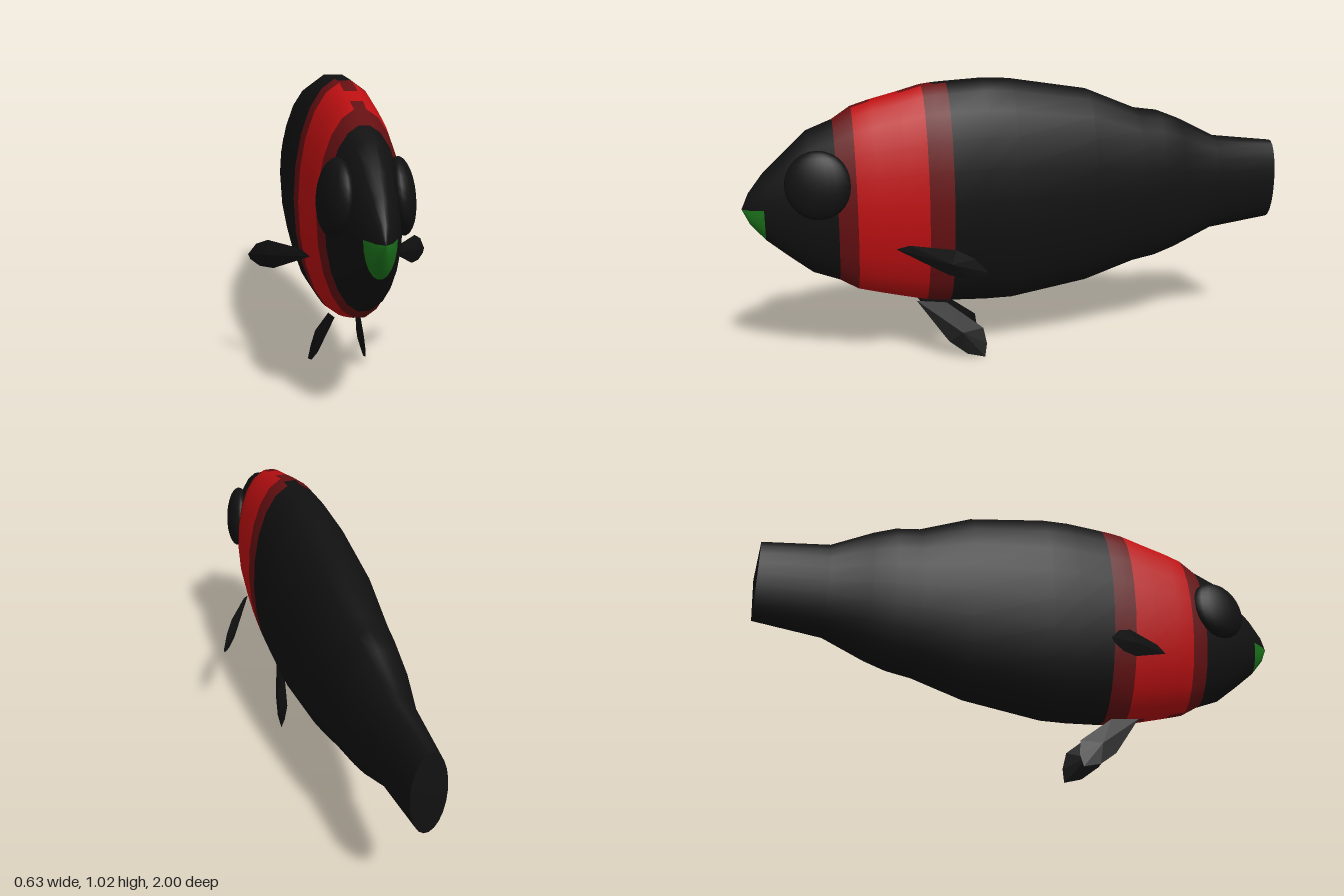
import * as THREE from 'three';

const black = new THREE.MeshStandardMaterial({ color: 0x111111 });
const brightRed = new THREE.MeshStandardMaterial({ color: 0xbe1012 });
const darkRed = new THREE.MeshStandardMaterial({ color: 0x661012 });
const green = new THREE.MeshStandardMaterial({ color: 0x1c741c });
black.name = 'black';
brightRed.name = 'brightRed';
darkRed.name = 'darkRed';
green.name = 'green';
const palette = [black, brightRed, darkRed, green];

const SIDES = 22;

// Body cross-sections from nose to tail: z, top y, bottom y, half width
const RINGS = [
  [1.0, 0.6, 0.6, 0], [0.975, 0.655, 0.545, 0.024], [0.925, 0.72, 0.485, 0.05],
  [0.85, 0.79, 0.42, 0.075], [0.77, 0.865, 0.355, 0.1], [0.68, 0.9, 0.32, 0.12],
  [0.615, 0.943, 0.28, 0.136], [0.55, 0.963, 0.262, 0.145], [0.45, 0.988, 0.236, 0.155],
  [0.37, 1.01, 0.217, 0.16], [0.33, 1.015, 0.211, 0.162], [0.283, 1.018, 0.206, 0.164],
  [0.15, 1.025, 0.198, 0.166], [0.05, 1.02, 0.197, 0.166], [-0.24, 0.972, 0.24, 0.15],
  [-0.43, 0.893, 0.3, 0.13], [-0.52, 0.88, 0.315, 0.117], [-0.6, 0.848, 0.342, 0.108],
  [-0.75, 0.772, 0.408, 0.075], [-0.99, 0.742, 0.437, 0.06],
  [-0.99, 0.742, 0.437, 0.06], [-1.0, 0.59, 0.59, 0],
];

// Palette index of one body face
function faceColour(z, k) {
  const ridge = k === 0 || k === SIDES / 2;
  if (z > 0.925) return k >= 6 && k <= 16 ? 3 : 0;
  if (z > 0.68 || z < 0.283) return 0;
  if (z < 0.33 && k === 0) return 0;
  if (z > 0.615 || z < 0.37) return 2;
  return ridge && (z > 0.55 || z < 0.45) ? 2 : 1;
}

function bodyGeometry() {
  const positions = [];
  for (const [z, top, bottom, w] of RINGS) {
    for (let k = 0; k < SIDES; k++) {
      const a = ((k - 0.5) * 2 * Math.PI) / SIDES;
      positions.push(w * Math.sin(a), (top + bottom) / 2 + ((top - bottom) / 2) * Math.cos(a), z);
    }
  }
  const faces = palette.map(() => []);
  for (let i = 0; i < RINGS.length - 1; i++) {
    if (RINGS[i][0] === RINGS[i + 1][0]) continue; // crisp tail rim
    const mid = (RINGS[i][0] + RINGS[i + 1][0]) / 2;
    for (let k = 0; k < SIDES; k++) {
      const a = i * SIDES + k, b = i * SIDES + ((k + 1) % SIDES);
      const c = a + SIDES, d = b + SIDES;
      const list = faces[faceColour(mid, k)];
      if (RINGS[i][3] > 0) list.push(a, b, c);
      if (RINGS[i + 1][3] > 0) list.push(b, d, c);
      else list.push(a, b, c);
    }
  }
  const geo = new THREE.BufferGeometry();
  geo.setAttribute('position', new THREE.Float32BufferAttribute(positions, 3));
  geo.setIndex(faces.flat());
  let start = 0;
  faces.forEach((f, m) => {
    geo.addGroup(start, f.length, m);
    start += f.length;
  });
  geo.computeVertexNormals();
  return geo;
}

// Thin lens-shaped fin: an outline with a raised centre on both faces
function finGeometry(outline, thickness) {
  const pts = outline.map((p) => new THREE.Vector3(...p));
  const centre = new THREE.Vector3();
  pts.forEach((p) => centre.addScaledVector(p, 1 / pts.length));
  const normal = new THREE.Vector3();
  pts.forEach((p, i) => {
    const q = pts[(i + 1) % pts.length];
    normal.add(p.clone().sub(centre).cross(q.clone().sub(centre)));
  });
  normal.normalize().multiplyScalar(thickness / 2);
  const front = centre.clone().add(normal), back = centre.clone().sub(normal);
  const tris = [];
  pts.forEach((p, i) => {
    const q = pts[(i + 1) % pts.length];
    tris.push(front, p, q, back, q, p);
  });
  const geo = new THREE.BufferGeometry().setFromPoints(tris);
  geo.computeVertexNormals();
  return geo;
}

// Side fin outline as x, y; it sweeps backwards as it goes out
const SIDE_FIN = [[0.138, 0.457], [0.165, 0.475], [0.255, 0.475], [0.29, 0.45],
  [0.315, 0.405], [0.308, 0.39], [0.28, 0.376], [0.24, 0.382]];
// Belly fin outline as z, y; it splays outwards as it goes down
const BELLY_FIN = [[0.41, 0.225], [0.3, 0.07], [0.235, 0.02], [0.17, 0.003],
  [0.16, 0.05], [0.17, 0.107], [0.3, 0.21]];

export function createModel() {
  const model = new THREE.Group();
  model.name = 'fish';
  const add = (name, geo, mat) => {
    const mesh = new THREE.Mesh(geo, mat);
    mesh.name = name;
    model.add(mesh);
    return mesh;
  };

  add('body', bodyGeometry(), palette);

  for (const [side, s] of [['left', 1], ['right', -1]]) {
    // Bulging eyes, leaning in at the top and front
    const eye = add(side + 'Eye', new THREE.SphereGeometry(1, 20, 14), black);
    eye.scale.set(0.045, 0.119, 0.114);
    eye.position.set(s * 0.1, 0.692, 0.742);
    eye.rotation.set(0, -s * 0.17, s * 0.1);

    const sideFin = SIDE_FIN.map(([x, y]) => [s * x, y, 0.49 - (x - 0.138) * 1.63]);
    add(side + 'SideFin', finGeometry(sideFin, 0.028), black);

    const bellyFin = BELLY_FIN.map(([z, y]) => [s * (0.048 + (0.21 - y) * 0.26), y, z]);
    add(side + 'BellyFin', finGeometry(bellyFin, 0.024), black);
  }
  return model;
}
